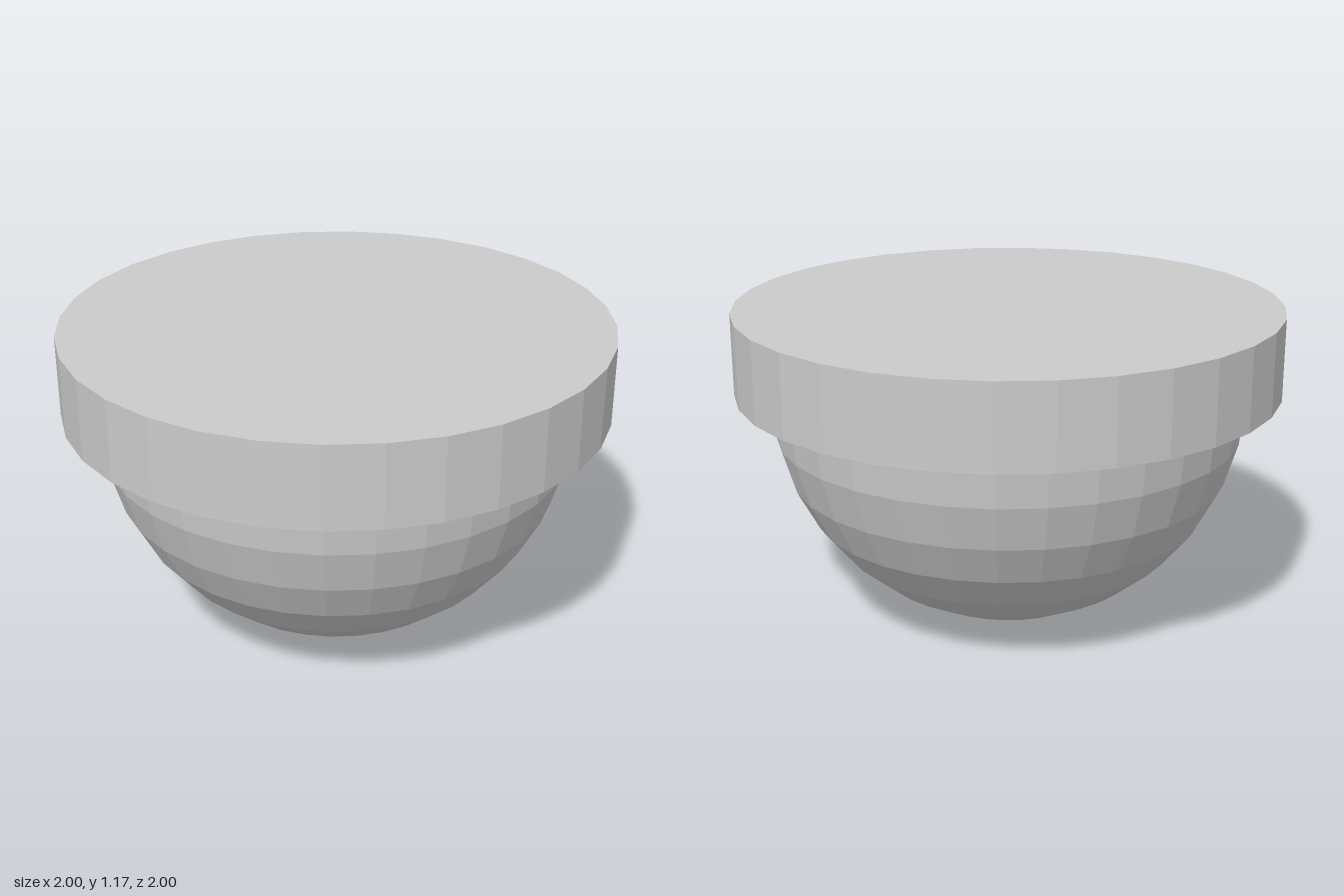
import * as THREE from 'three';

export function createModel() {
  const model = new THREE.Group();
  const material = new THREE.MeshStandardMaterial({
    color: 0xcccccc, flatShading: true, side: THREE.DoubleSide,
  });
  const sides = 32;
  const domeRadius = 0.873;
  const rimHeight = 0.3;
  const rimBottom = 0.875;

  // Hanging half-sphere, its open edge meeting the underside of the rim
  const dome = new THREE.Mesh(
    new THREE.SphereGeometry(domeRadius, sides, 8, 0, Math.PI * 2, Math.PI / 2, Math.PI / 2),
    material,
  );
  dome.name = 'dome';
  dome.scale.y = rimBottom / domeRadius;
  dome.position.y = rimBottom;
  model.add(dome);

  // Wide solid disc on top
  const rim = new THREE.Mesh(new THREE.CylinderGeometry(1, 1, rimHeight, sides), material);
  rim.name = 'rim';
  rim.position.y = rimBottom + rimHeight / 2;
  model.add(rim);

  return model;
}
